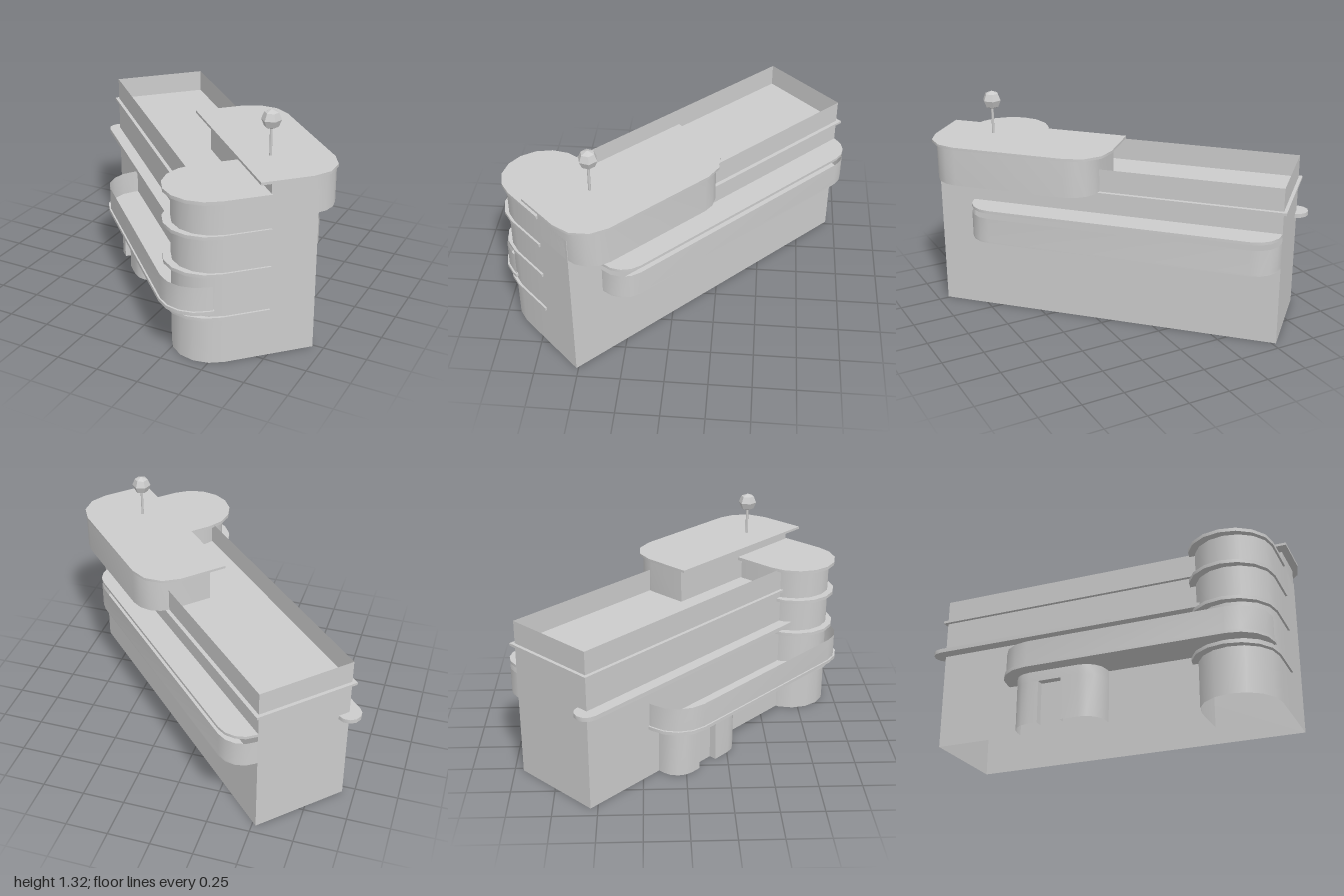
import * as THREE from 'three';
import { toCreasedNormals } from 'three/addons/utils/BufferGeometryUtils.js';

// Plans use (u, v): u runs along the building, v runs towards its back.
const CREASE = 0.87;
const material = new THREE.MeshStandardMaterial({ color: 0xcccccc, side: THREE.DoubleSide });

// Turns corners [u, v, radius] into plan points, rounding corners that have a radius.
function plan(corners, segments = 4) {
  const points = [];
  const n = corners.length;
  corners.forEach(([u, v, r], i) => {
    const c = new THREE.Vector2(u, v);
    if (!r) { points.push(c); return; }
    const towards = (k) => {
      const [a, b] = corners[(k + n) % n];
      return new THREE.Vector2(a, b).sub(c).setLength(r);
    };
    const toPrev = towards(i - 1), toNext = towards(i + 1);
    const centre = c.clone().add(toPrev).add(toNext);
    for (let s = 0; s <= segments; s++) {
      const t = (s / segments) * Math.PI / 2;
      points.push(centre.clone()
        .addScaledVector(toNext, -Math.cos(t))
        .addScaledVector(toPrev, -Math.sin(t)));
    }
  });
  return points;
}

function mesh(name, geometry) {
  const m = new THREE.Mesh(geometry, material);
  m.name = name;
  return m;
}

// Solid plate of a plan between two heights.
function slab(name, points, y0, y1) {
  const g = new THREE.ExtrudeGeometry(new THREE.Shape(points), { depth: y1 - y0, bevelEnabled: false });
  g.rotateX(-Math.PI / 2).translate(0, y0, 0);
  return mesh(name, toCreasedNormals(g, CREASE));
}

// Thin upright wall following a plan, open at top and bottom.
function wall(name, points, y0, y1, closed = false) {
  const path = closed ? [...points, points[0]] : points;
  const pos = [];
  for (let i = 0; i < path.length - 1; i++) {
    const a = path[i], b = path[i + 1];
    pos.push(a.x, y0, -a.y, b.x, y0, -b.y, b.x, y1, -b.y);
    pos.push(a.x, y0, -a.y, b.x, y1, -b.y, a.x, y1, -a.y);
  }
  const g = new THREE.BufferGeometry();
  g.setAttribute('position', new THREE.Float32BufferAttribute(pos, 3));
  return mesh(name, toCreasedNormals(g, CREASE));
}

export function createModel() {
  const model = new THREE.Group();
  model.name = 'building';
  const house = new THREE.Group();
  house.name = 'turnedBuilding';
  house.rotation.y = -Math.PI / 4;
  model.add(house);

  // Main block: walls rising past the roof as a parapet
  house.add(wall('mainWalls', plan([
    [1.025, 0.03], [1.025, 0.302], [-1.04, 0.302], [-1.04, -0.276], [0.59, -0.276],
  ]), 0, 0.955));
  // Roof plate, sticking out as a ledge
  house.add(slab('roofLedge', plan([
    [-1.06, -0.297], [0.59, -0.297], [0.59, 0.04], [0.03, 0.04], [0.03, 0.325], [-1.06, 0.325],
  ]), 0.805, 0.82));

  // Round-fronted corner tower with its floor bands
  house.add(wall('towerWall', plan([
    [0.575, 0.03], [0.575, -0.435, 0.225], [1.025, -0.435, 0.225], [1.025, 0.03],
  ]), 0, 0.955));
  const band = plan([
    [0.543, 0.04], [0.543, -0.48, 0.247], [1.037, -0.48, 0.247], [1.037, 0.04],
  ]);
  for (const y of [0.268, 0.528, 0.748, 0.945]) house.add(slab('towerBand', band, y, y + 0.02));

  // Penthouse with its overhanging roof
  house.add(slab('penthouse', plan([
    [0.02, 0.035], [1.025, 0.035], [1.025, 0.455, 0.17], [0.02, 0.455, 0.17],
  ]), 0.82, 1.04));
  house.add(slab('penthouseRoof', plan([
    [-0.035, -0.04], [1.068, -0.04], [1.068, 0.46, 0.21], [-0.035, 0.46, 0.21],
  ], 3), 1.04, 1.055));

  // Narrow front ledge rounding the far corner
  house.add(slab('frontLedge', plan([
    [-1.11, -0.346, 0.07], [0.65, -0.346], [0.65, -0.206], [-1.11, -0.206, 0.07],
  ], 3), 0.582, 0.607));

  // Long front balcony
  house.add(slab('frontBalconyFloor', plan([
    [-0.583, -0.27], [-0.583, -0.516, 0.215], [1.028, -0.516, 0.215], [1.028, -0.27],
  ]), 0.31, 0.33));
  house.add(wall('frontBalconyParapet', plan([
    [-0.573, -0.276], [-0.573, -0.506, 0.21], [1.018, -0.506, 0.21], [1.018, -0.276],
  ]), 0.33, 0.472));

  // Rounded entrance with a shallow doorway
  const left = [-0.5, -0.43, 0.12], right = [0.05, -0.43, 0.12];
  house.add(wall('entranceWalls', plan([
    [-0.5, -0.276], left, [-0.32, -0.43], [-0.32, -0.385],
    [-0.18, -0.385], [-0.18, -0.43], right, [0.05, -0.276],
  ]), 0, 0.25));
  house.add(slab('entranceLintel', plan([[-0.5, -0.276], left, right, [0.05, -0.276]]), 0.25, 0.31));

  // Back balcony with the canopy above it
  const back = plan([[-1.04, 0.3], [0.81, 0.3], [0.81, 0.46, 0.15], [-1.04, 0.46, 0.15]]);
  house.add(slab('backBalconyFloor', back, 0.48, 0.492));
  house.add(wall('backBalconyParapet', back.slice(1).concat(back[0]), 0.492, 0.635));
  house.add(slab('backCanopy', back, 0.668, 0.685));

  // Roof mast and ball
  const mast = mesh('mast', new THREE.CylinderGeometry(0.008, 0.008, 0.17, 8));
  mast.position.set(0.62, 1.135, 0.43);
  const ballGeometry = new THREE.SphereGeometry(0.056, 6, 4).toNonIndexed();
  ballGeometry.computeVertexNormals();
  const ball = mesh('mastBall', ballGeometry);
  ball.position.set(0.62, 1.26, 0.43);
  ball.rotation.y = 0.25;
  model.add(mast, ball);

  return model;
}
